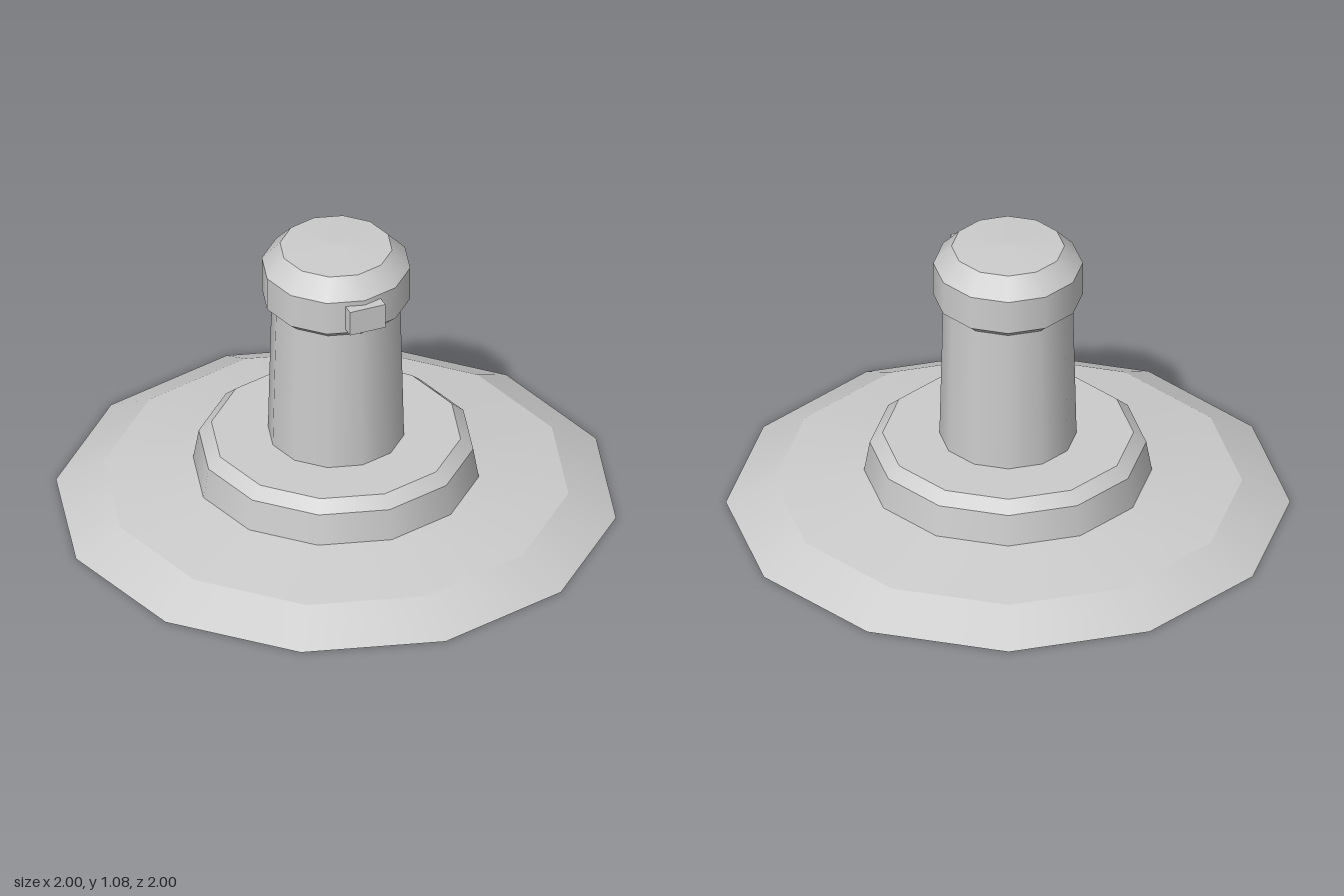
import * as THREE from 'three';
import { mergeGeometries } from 'three/addons/utils/BufferGeometryUtils.js';

const SIDES = 12;

// Open shell turned from a profile: smooth around the axis, sharp between bands
function turned(name, profile, material) {
  const bands = [];
  for (let i = 0; i < profile.length - 1; i++) {
    const pair = [profile[i], profile[i + 1]].map(([r, y]) => new THREE.Vector2(r, y));
    bands.push(new THREE.LatheGeometry(pair, SIDES));
  }
  const mesh = new THREE.Mesh(mergeGeometries(bands), material);
  mesh.name = name;
  return mesh;
}

export function createModel() {
  const group = new THREE.Group();
  group.name = 'flangedPost';
  const grey = new THREE.MeshStandardMaterial({ color: 0xcccccc, side: THREE.DoubleSide });
  grey.name = 'grey';

  // Wide sloping base, hollow underneath
  group.add(turned('base', [[1, 0], [0.83, 0.09], [0.51, 0.135]], grey));

  // Raised collar with a bevelled rim, open to the post
  group.add(turned('collar', [[0.51, 0.135], [0.49, 0.25], [0.445, 0.29], [0.243, 0.29]], grey));

  // Slightly tapered hollow post
  group.add(turned('post', [[0.243, 0.29], [0.23, 0.84]], grey));

  // Bevelled head with a shallow crown
  group.add(turned('head', [[0.23, 0.84], [0.265, 0.87], [0.265, 1.0], [0.2, 1.07], [0, 1.08]], grey));

  // Small block on the front of the head
  const block = new THREE.Mesh(new THREE.BoxGeometry(0.135, 0.097, 0.045), grey);
  block.position.set(0, 0.933, 0.267);
  block.name = 'frontBlock';
  group.add(block);

  return group;
}
